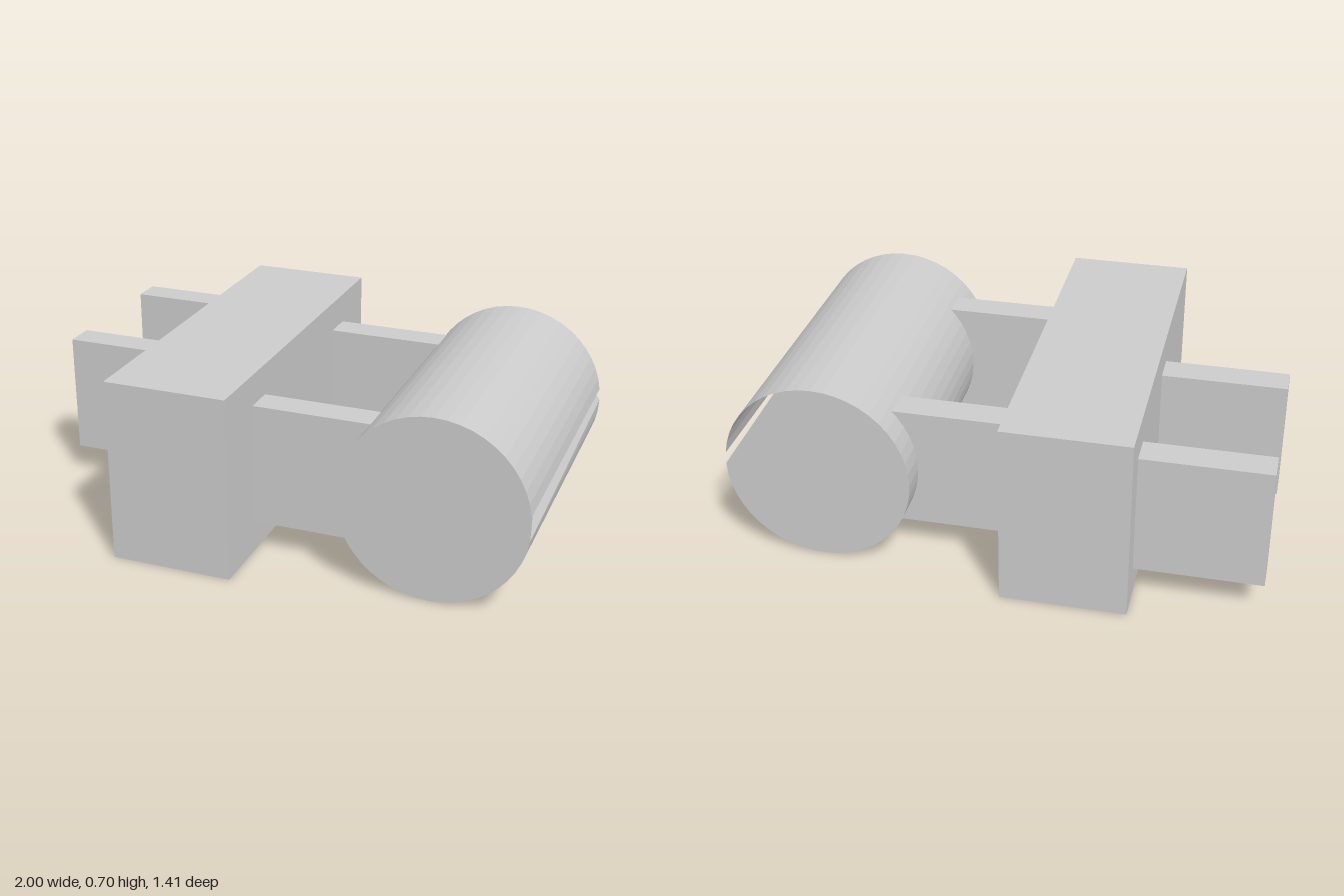
import * as THREE from 'three';

const material = new THREE.MeshStandardMaterial({ color: 0xcccccc, flatShading: true, side: THREE.DoubleSide });

// Box given by its minimum and maximum on each axis
function block(name, [x0, x1], [y0, y1], [z0, z1]) {
  const mesh = new THREE.Mesh(new THREE.BoxGeometry(x1 - x0, y1 - y0, z1 - z0), material);
  mesh.name = name;
  mesh.position.set((x0 + x1) / 2, (y0 + y1) / 2, (z0 + z1) / 2);
  return mesh;
}

// Hollow drum along z with an open slot on its +x side and a clipped back cap
function slottedDrum(radius, halfLength, sides) {
  const points = [];
  const rim = (i, z) => {
    const a = (i / sides) * Math.PI * 2;
    return [radius * Math.cos(a), radius * Math.sin(a), z];
  };
  const front = (i) => rim(i, halfLength);
  const back = (i) => rim(i, -halfLength);
  const tri = (a, b, c) => points.push(...a, ...b, ...c);
  const last = sides - 1;
  const clip = 9;

  // Wall, left open over the first side and half of the last one
  for (let i = 1; i < sides; i++) {
    tri(front(i), back(i), back(i + 1));
    if (i < last) tri(front(i), back(i + 1), front(i + 1));
  }
  // Front cap, skipping the rim point in the slot
  for (let i = 2; i < last; i++) tri(front(1), front(i), front(i + 1));
  // Back cap, cut along a chord from the slot to the upper rim
  for (let i = clip; i < last; i++) tri(back(0), back(i + 1), back(i));
  // Slanted inner face behind the slot
  tri(front(last), back(0), back(clip));

  const geometry = new THREE.BufferGeometry();
  geometry.setAttribute('position', new THREE.Float32BufferAttribute(points, 3));
  geometry.computeVertexNormals();
  return geometry;
}

export function createModel() {
  const model = new THREE.Group();
  model.name = 'plugAndDrum';

  // Central block
  model.add(block('body', [-0.53, -0.063], [0, 0.705], [-0.705, 0.705]));

  // Prongs on the -x side and arms holding the drum on the +x side
  const plateY = [0.12, 0.588];
  model.add(block('backProng', [-1, -0.53], plateY, [-0.59, -0.475]));
  model.add(block('frontProng', [-1, -0.53], plateY, [0, 0.115]));
  model.add(block('backArm', [-0.063, 0.385], plateY, [-0.472, -0.357]));
  model.add(block('frontArm', [-0.063, 0.385], plateY, [0.352, 0.467]));

  // Drum
  const drum = new THREE.Mesh(slottedDrum(0.3525, 0.587, 48), material);
  drum.name = 'drum';
  drum.position.set(0.6475, 0.3525, 0);
  model.add(drum);

  return model;
}
